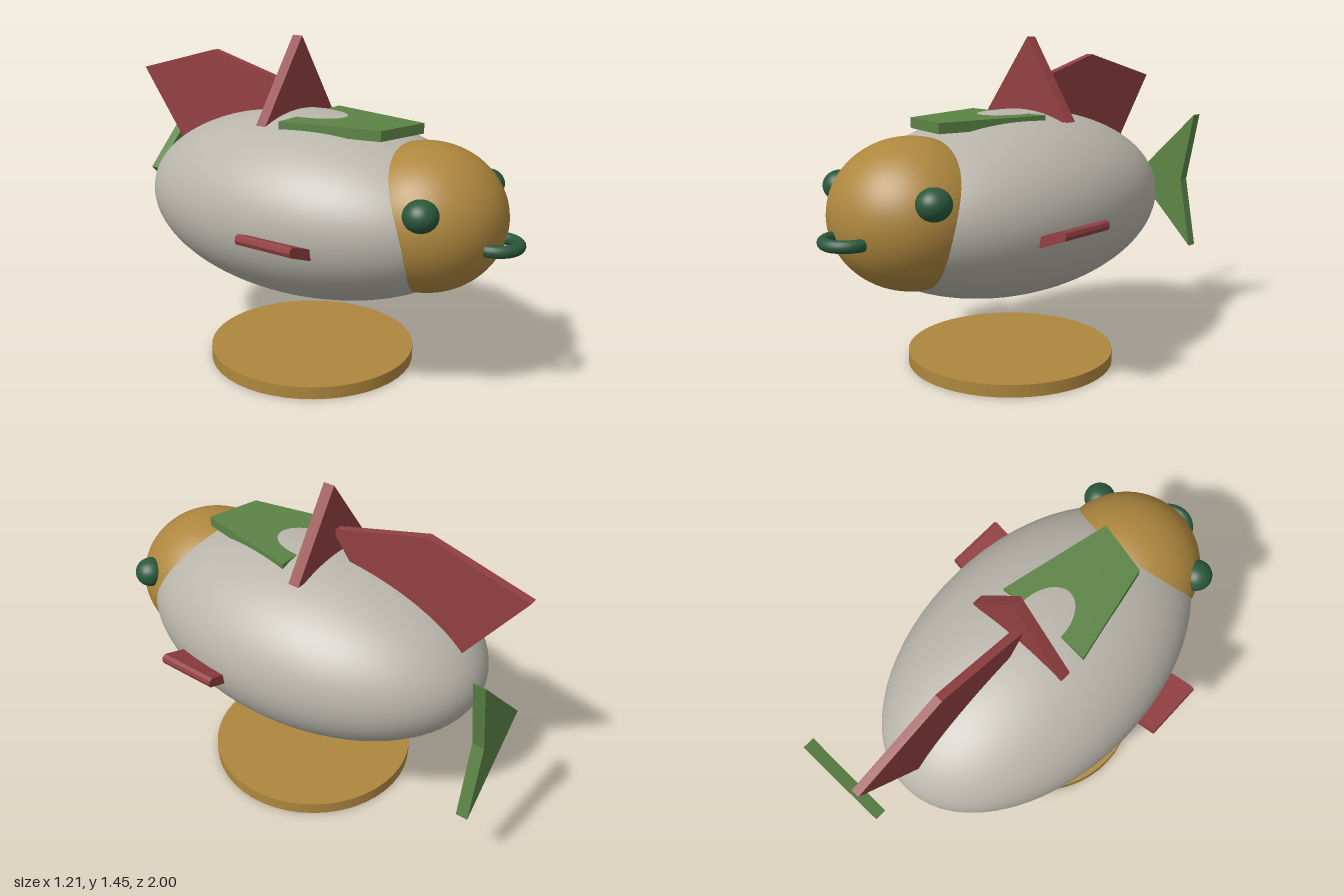
import * as THREE from 'three';

const mat = (name, color) => {
  const m = new THREE.MeshStandardMaterial({ color });
  m.name = name;
  return m;
};

// Flat plate: outline points extruded by depth along +z
function plate(points, depth) {
  const shape = new THREE.Shape(points.map(([x, y]) => new THREE.Vector2(x, y)));
  return new THREE.ExtrudeGeometry(shape, { depth, bevelEnabled: false });
}

export function createModel() {
  const model = new THREE.Group();
  model.name = 'fish';

  const grey = mat('bodyGrey', 0xb9b5ab);
  const ochre = mat('ochre', 0xae873e);
  const red = mat('finRed', 0x934042);
  const green = mat('tailGreen', 0x5c8446);
  const darkGreen = mat('darkGreen', 0x2a583c);

  function add(name, geometry, material, x = 0, y = 0, z = 0) {
    const mesh = new THREE.Mesh(geometry, material);
    mesh.name = name;
    mesh.position.set(x, y, z);
    model.add(mesh);
    return mesh;
  }
  const ellipsoid = (rx, ry, rz) => new THREE.SphereGeometry(1, 64, 40).scale(rx, ry, rz);

  // Body and head
  add('body', ellipsoid(0.525, 0.4, 0.825), grey, 0, 0.733, 0);
  add('head', ellipsoid(0.336, 0.308, 0.336), ochre, 0, 0.763, 0.57);

  // Round stand
  add('base', new THREE.CylinderGeometry(0.463, 0.463, 0.055, 48), ochre, 0, 0.0275, 0);

  // Mouth: half ring in front of the head
  const lips = new THREE.TorusGeometry(0.09, 0.025, 16, 32, Math.PI).rotateX(Math.PI / 2);
  add('mouth', lips, darkGreen, 0, 0.705, 0.885);

  // Eyes and side fins, mirrored
  const finProfile = [[0.42, 0.685], [0.585, 0.745], [0.6, 0.738],
    [0.604, 0.722], [0.598, 0.706], [0.42, 0.637]];
  for (const [side, s] of [['left', 1], ['right', -1]]) {
    add(side + 'Eye', ellipsoid(0.07, 0.064, 0.07), darkGreen, s * 0.285, 0.858, 0.705);
    add(side + 'Fin', plate(finProfile.map(([x, y]) => [s * x, y]), 0.267), red, 0, 0, 0.067);
  }

  // Crosswise triangular fin
  add('crossFin', plate([[-0.23, 1.09], [0.262, 1.09], [0.03, 1.445]], 0.05), red, 0, 0, -0.125);

  // Lengthwise five-sided back fin
  const back = plate([[0.11, 1.24], [0.36, 0.9], [0.74, 0.9], [0.99, 1.24], [0.545, 1.355]], 0.036);
  add('backFin', back.rotateY(Math.PI / 2), red, -0.019, 0, 0);

  // Notched tail
  const tail = plate([[0, 0.733], [0.33, 0.405], [0.268, 0.733], [0.33, 1.061]], 0.05);
  add('tail', tail, green, 0, 0, -1);

  // Saddle plate, with the crest of the body rising through it
  const saddle = plate([[-0.235, 0], [-0.148, -0.44], [0.09, -0.5], [0.205, 0]], 0.044);
  add('saddlePlate', saddle.rotateX(-Math.PI / 2), green, 0, 1.08, 0);

  return model;
}
